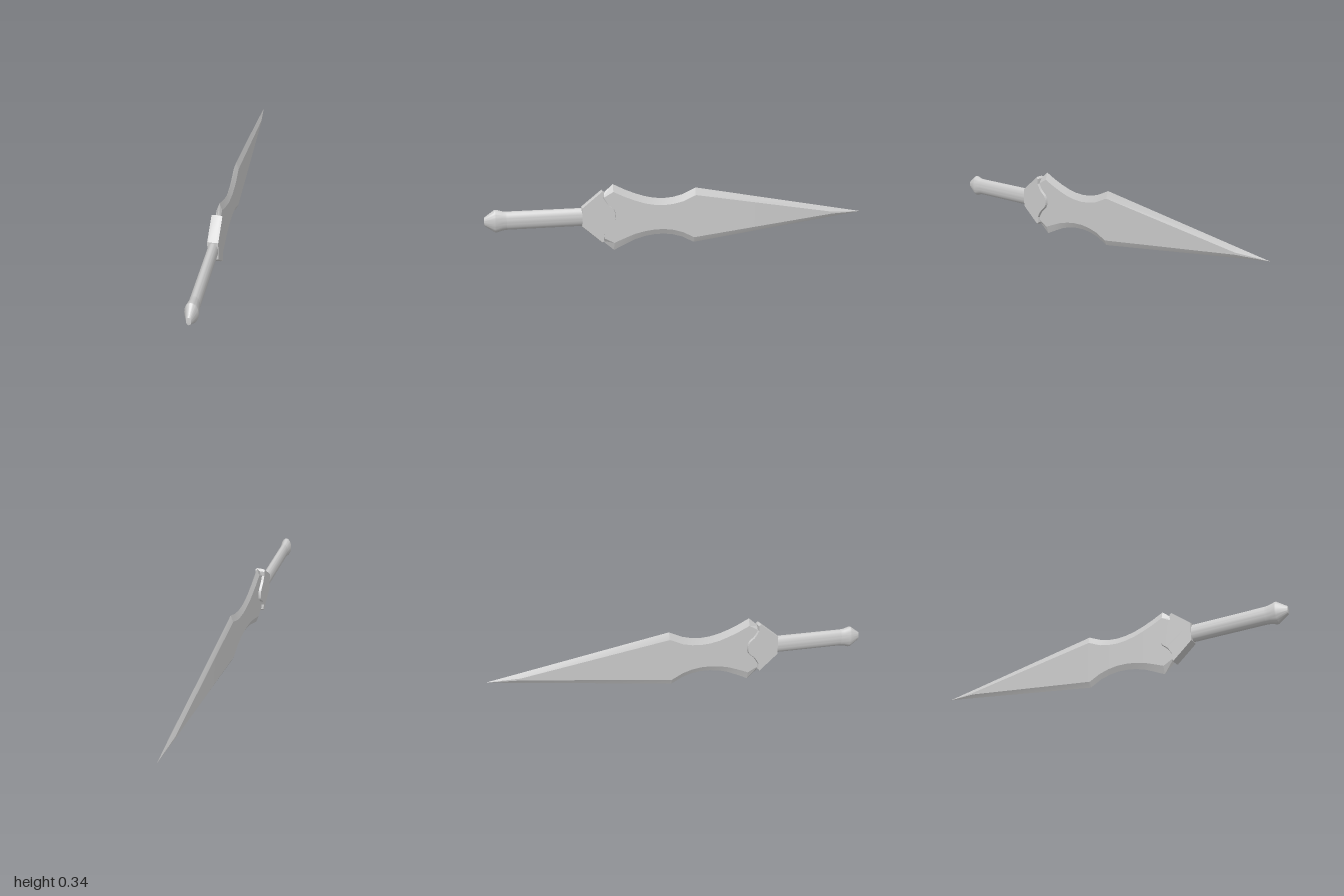
import * as THREE from 'three';
import { toCreasedNormals } from 'three/addons/utils/BufferGeometryUtils.js';

const AXIS_Y = 0.185; // height of the grip's axis

// Blade lofted from six-sided sections: flat middle, bevel down to each edge
function bladeGeometry() {
  // z, top edge, top of flat, bottom of flat, bottom edge, half thickness
  const sections = [
    [0.42, 0.295, 0.275, 0.075, 0.055, 0.013],
    [0.36, 0.346, 0.308, 0.043, 0.003, 0.013],
    [0.30, 0.316, 0.279, 0.067, 0.031, 0.013],
    [0.25, 0.295, 0.259, 0.085, 0.053, 0.013],
    [0.20, 0.278, 0.242, 0.096, 0.067, 0.013],
    [0.15, 0.267, 0.232, 0.102, 0.074, 0.013],
    [0.10, 0.263, 0.228, 0.102, 0.075, 0.013],
    [0.05, 0.267, 0.232, 0.095, 0.068, 0.013],
    [0.00, 0.279, 0.243, 0.080, 0.053, 0.013],
    [-0.06, 0.306, 0.270, 0.049, 0.021, 0.013],
    [-0.07, 0.311, 0.273, 0.050, 0.022, 0.013],
    [-0.83, 0.171, 0.147, 0.137, 0.119, 0.012],
    [-1.00, 0.140, 0.140, 0.140, 0.140, 0],
  ];
  const pos = [];
  const index = [];
  for (const [z, top, flatTop, flatBottom, bottom, t] of sections) {
    pos.push(0, top, z, t, flatTop, z, t, flatBottom, z,
      0, bottom, z, -t, flatBottom, z, -t, flatTop, z);
  }
  for (let i = 0; i < sections.length - 1; i++) {
    for (let j = 0; j < 6; j++) {
      const a = i * 6 + j, b = i * 6 + (j + 1) % 6;
      index.push(a, b, a + 6, b, b + 6, a + 6);
    }
  }
  for (let j = 1; j < 5; j++) index.push(0, j + 1, j); // heel cap
  const geo = new THREE.BufferGeometry();
  geo.setAttribute('position', new THREE.Float32BufferAttribute(pos, 3));
  geo.setIndex(index);
  return toCreasedNormals(geo, 0.2);
}

// Guard: side outline with a waved front edge, extruded across the blade
function guardGeometry() {
  const shape = new THREE.Shape();
  shape.moveTo(0.522, 0.235);
  shape.lineTo(0.418, 0.318);
  shape.lineTo(0.406, 0.308);
  shape.lineTo(0.408, 0.28);
  shape.splineThru([
    [0.388, 0.247], [0.358, 0.218], [0.35, 0.185],
    [0.358, 0.155], [0.39, 0.125], [0.412, 0.09],
  ].map(([z, y]) => new THREE.Vector2(z, y)));
  shape.lineTo(0.41, 0.06);
  shape.lineTo(0.42, 0.047);
  shape.lineTo(0.522, 0.137);
  shape.closePath();
  const geo = new THREE.ExtrudeGeometry(shape, {
    depth: 0.028, curveSegments: 20, bevelEnabled: true, bevelSegments: 1,
    bevelThickness: 0.012, bevelSize: 0.003, bevelOffset: -0.003,
  });
  geo.translate(0, 0, -0.014);
  geo.rotateY(-Math.PI / 2);
  return toCreasedNormals(geo, 0.5);
}

// Oval turned part: profile of [radius, z], flattened across x
function turnedGeometry(profile) {
  const points = profile.map(([r, z]) => new THREE.Vector2(r, z));
  const geo = new THREE.LatheGeometry(points, 40);
  geo.rotateX(Math.PI / 2);
  geo.scale(0.54, 1, 1);
  geo.translate(0, AXIS_Y, 0);
  return toCreasedNormals(geo, 0.5);
}

export function createModel() {
  const group = new THREE.Group();
  const material = new THREE.MeshStandardMaterial({ color: 0xcccccc });
  const add = (name, geometry) => {
    const mesh = new THREE.Mesh(geometry, material);
    mesh.name = name;
    group.add(mesh);
  };
  add('blade', bladeGeometry());
  add('guard', guardGeometry());
  add('grip', turnedGeometry([[0, 0.5], [0.046, 0.5], [0.046, 0.89]]));
  add('pommel', turnedGeometry([
    [0.046, 0.89], [0.048, 0.91], [0.057, 0.94], [0.057, 0.948],
    [0.021, 0.998], [0, 1],
  ]));
  return group;
}
